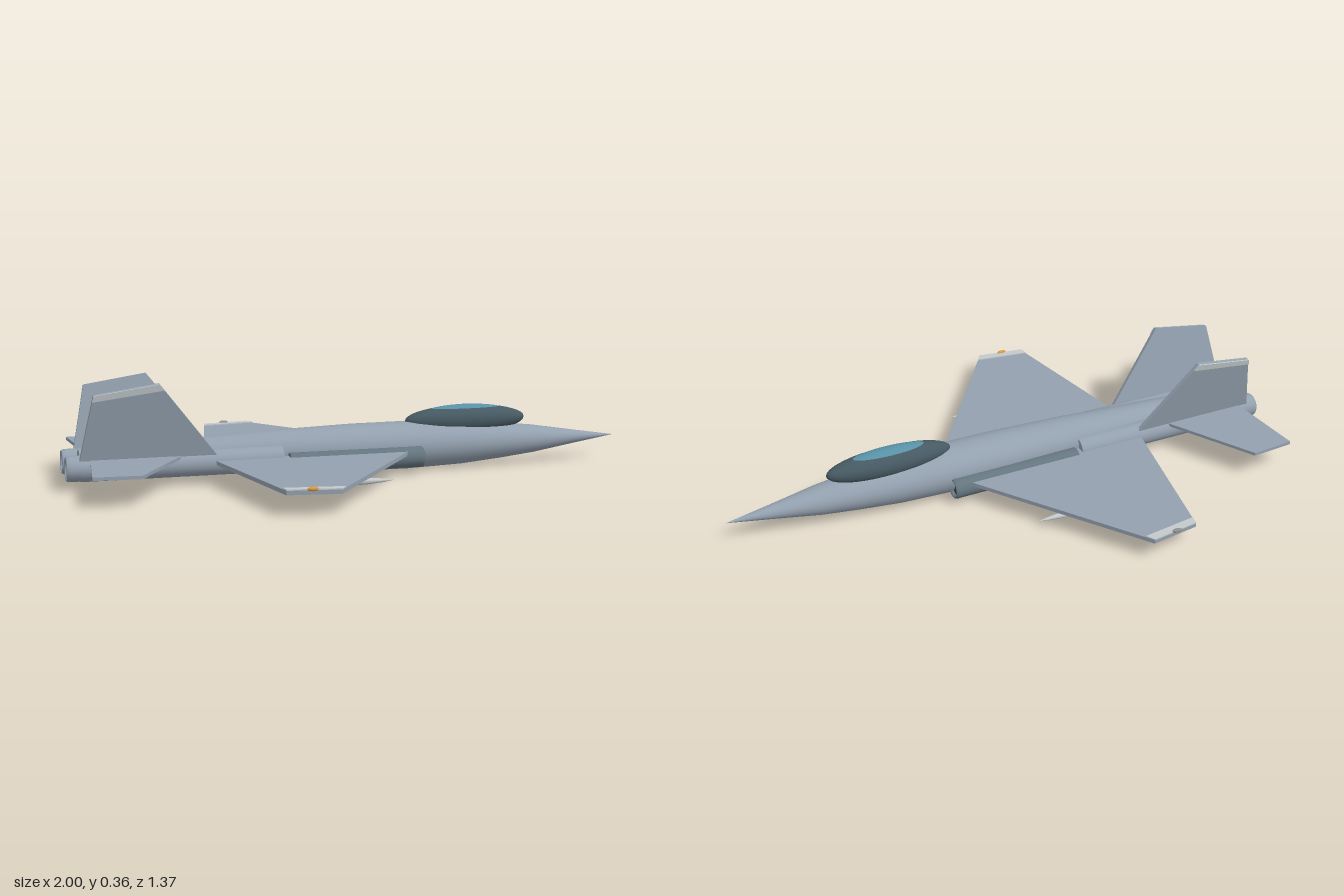
import * as THREE from 'three';

const mat = (name, color, side = THREE.FrontSide) => {
  const m = new THREE.MeshStandardMaterial({ color, side });
  m.name = name;
  return m;
};

export function createModel() {
  const model = new THREE.Group();
  model.name = 'jet';
  const skin = mat('blue grey skin', 0x93a0ae);
  const light = mat('pale grey trim', 0xc3c9cb);
  const intakeGrey = mat('dark intake grey', 0x64757f);
  const dark = mat('intake shadow', 0x384349);
  const frame = mat('canopy slate', 0x465962);
  const glass = mat('canopy glass', 0x5791a6);
  const glow = mat('exhaust amber', 0xb9812f);
  const amber = mat('amber lamp', 0xd9983c);
  const taupe = mat('grey lamp', 0x8d8f88);

  const add = (name, geo, material, x = 0, y = 0, z = 0) => {
    const mesh = new THREE.Mesh(geo, material);
    mesh.name = name;
    mesh.position.set(x, y, z);
    model.add(mesh);
    return mesh;
  };

  // Round body along x from [x, radius] pairs, tail to nose
  const turned = (profile, sides = 28) =>
    new THREE.LatheGeometry(profile.map(([x, r]) => new THREE.Vector2(r, x)), sides).rotateZ(-Math.PI / 2);

  // Flat slab from a 2D outline, centred on its thickness
  const slab = (outline, t) =>
    new THREE.ExtrudeGeometry(new THREE.Shape(outline.map(p => new THREE.Vector2(...p))),
      { depth: t, bevelEnabled: false }).translate(0, 0, -t / 2);

  // Horizontal slab from [x, z] points, mirrored by side
  const plan = (outline, t, s) => slab(outline.map(([x, z]) => [x, z * s]), t).rotateX(Math.PI / 2);

  const ellipsoid = (a, b, c) => new THREE.SphereGeometry(1, 32, 20).scale(a, b, c);

  // Fuselage, slightly wider than tall
  const body = turned([
    [-0.95, 0], [-0.95, 0.038], [-0.949, 0.04], [-0.75, 0.05], [-0.5, 0.062], [-0.25, 0.075],
    [0, 0.083], [0.2, 0.084], [0.4, 0.077], [0.55, 0.064], [0.68, 0.05], [0.85, 0.023], [1, 0],
  ]).scale(1, 1, 1.11);
  add('fuselage', body, skin, 0, 0.087, 0);

  // Canopy with a brighter crown
  add('canopy', ellipsoid(0.226, 0.051, 0.055), frame, 0.42, 0.17, 0);
  add('canopyGlass', ellipsoid(0.2, 0.049, 0.049), glass, 0.42, 0.1745, 0);

  for (const s of [1, -1]) {
    const side = s > 0 ? 'left' : 'right';

    // Engine nacelle, nozzle and exhaust
    add(side + 'Nacelle', turned([[-0.955, 0], [-0.955, 0.042], [-0.953, 0.044], [-0.27, 0.044],
      [-0.268, 0.042], [-0.268, 0]]), skin, 0, 0.074, s * 0.07);
    add(side + 'Nozzle', turned([[-0.975, 0.031], [-0.99, 0.033], [-0.998, 0.036], [-1, 0.038],
      [-0.997, 0.041], [-0.985, 0.043], [-0.94, 0.043]]), skin, 0, 0.075, s * 0.07);
    add(side + 'Exhaust', new THREE.CircleGeometry(0.033, 28).rotateY(-Math.PI / 2),
      glow, -0.982, 0.075, s * 0.07);

    // Air intake with rounded lip and dark mouth
    add(side + 'Intake', turned([[-0.25, 0], [-0.25, 0.034], [-0.248, 0.036], [0.2, 0.036]]),
      intakeGrey, 0, 0.06, s * 0.096);
    add(side + 'IntakeLip', turned([[0.2, 0.036], [0.218, 0.037], [0.226, 0.035], [0.228, 0.032],
      [0.225, 0.029], [0.21, 0.028]]), intakeGrey, 0, 0.06, s * 0.096);
    add(side + 'IntakeMouth', new THREE.CircleGeometry(0.03, 28).rotateY(Math.PI / 2),
      dark, 0.215, 0.06, s * 0.096);

    // Wing, tip panel and tip lamp
    add(side + 'Wing', plan([[0.21, 0.06], [-0.23, 0.682], [-0.4, 0.657], [-0.515, 0.06]], 0.014, s),
      skin, 0, 0.077, 0);
    add(side + 'WingTipPanel', plan([[-0.211, 0.654], [-0.23, 0.683], [-0.4, 0.658], [-0.405, 0.627]], 0.004, s),
      light, 0, 0.086, 0);
    add(side + 'TipLamp', ellipsoid(0.018, 0.007, 0.007), s > 0 ? amber : taupe, -0.32, 0.088, s * 0.67);

    // Tailplane
    add(side + 'Tailplane', plan([[-0.61, 0.08], [-0.795, 0.406], [-0.95, 0.394], [-0.92, 0.08]], 0.011, s),
      skin, 0, 0.1, 0);

    // Canted fin with a pale cap on its outer face
    const fin = new THREE.Group();
    fin.name = side + 'Fin';
    const panel = new THREE.Mesh(
      slab([[-0.958, -0.03], [-0.495, -0.03], [-0.698, 0.235], [-0.912, 0.202]], 0.014), skin);
    panel.name = side + 'FinPanel';
    const cap = new THREE.Mesh(
      slab([[-0.917, 0.182], [-0.682, 0.214], [-0.698, 0.236], [-0.912, 0.203]], 0.004), light);
    cap.name = side + 'FinCap';
    cap.position.z = s * 0.008;
    fin.add(panel, cap);
    fin.position.set(0, 0.127, s * 0.1);
    fin.rotation.x = s * 0.214;
    model.add(fin);

    // Slim store under the wing with flat tail fins
    add(side + 'Store', turned([[-0.335, 0], [-0.31, 0.006], [-0.25, 0.01], [-0.15, 0.012],
      [-0.06, 0.011], [0, 0.006], [0.037, 0]], 16), light, 0, 0.04, s * 0.37);
    add(side + 'StoreFins', slab([[-0.33, -0.03], [-0.3, -0.03], [-0.25, 0], [-0.3, 0.03], [-0.33, 0.03]], 0.004)
      .rotateX(Math.PI / 2), light, 0, 0.04, s * 0.37);
  }
  return model;
}
